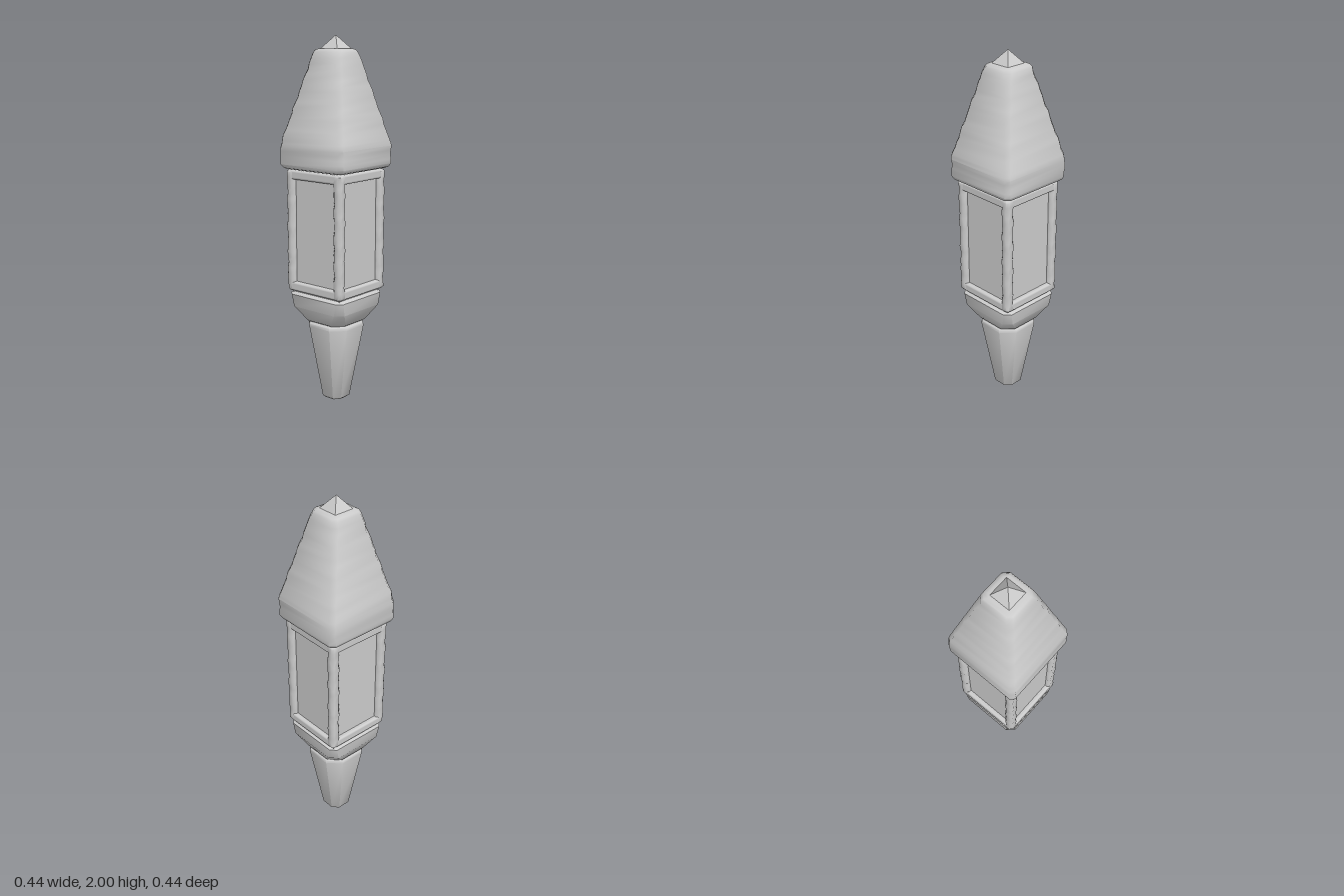
import * as THREE from 'three';
import { toCreasedNormals } from 'three/addons/utils/BufferGeometryUtils.js';
import { RoundedBoxGeometry } from 'three/addons/geometries/RoundedBoxGeometry.js';

const stone = new THREE.MeshStandardMaterial({ color: 0xcccccc });

function addMesh(parent, name, geometry, x = 0, y = 0, z = 0) {
  const mesh = new THREE.Mesh(geometry, stone);
  mesh.name = name;
  mesh.position.set(x, y, z);
  parent.add(mesh);
  return mesh;
}

// Square loft with cut corners. Sections are [y, half width, corner cut];
// wear makes the corner cuts uneven along the height.
function loft(sections, wear = 0, phase = 0) {
  const rings = [];
  sections.forEach(([y, h, c], i) => {
    rings.push([y, h, c]);
    const next = sections[i + 1];
    if (!next || !wear) return;
    const steps = Math.ceil((next[0] - y) / 0.03);
    for (let s = 1; s < steps; s++) {
      rings.push([y, h, c].map((v, k) => THREE.MathUtils.lerp(v, next[k], s / steps)));
    }
  });
  const positions = [], index = [];
  for (const [y, h, c] of rings) {
    for (let k = 0; k < 4; k++) {
      const p = k * 1.9 + phase;
      const cut = c + wear * (Math.sin(y * 47 + p) + Math.sin(y * 83 + 2 * p)) / 2;
      let a = [h, cut - h], b = [h - cut, -h];
      for (let r = 0; r < k; r++) [a, b] = [a, b].map(([x, z]) => [z, -x]);
      positions.push(a[0], y, a[1], b[0], y, b[1]);
    }
  }
  for (let i = 0; i < rings.length - 1; i++) {
    for (let j = 0; j < 8; j++) {
      const a = i * 8 + j, b = i * 8 + (j + 1) % 8;
      index.push(a, b, b + 8, a, b + 8, a + 8);
    }
  }
  const last = (rings.length - 1) * 8;
  for (let j = 1; j < 7; j++) {
    index.push(0, j + 1, j, last, last + j, last + j + 1);
  }
  const geometry = new THREE.BufferGeometry();
  geometry.setAttribute('position', new THREE.Float32BufferAttribute(positions, 3));
  geometry.setIndex(index);
  return toCreasedNormals(geometry, 0.85);
}

export function createModel() {
  const model = new THREE.Group();
  model.name = 'stoneLantern';

  // Tapered foot, nearly octagonal
  addMesh(model, 'foot', loft([
    [0, 0.055, 0.026], [0.012, 0.069, 0.032], [0.43, 0.14, 0.068],
    [0.444, 0.138, 0.068], [0.455, 0.125, 0.06],
  ]));

  // Flared collar under the lantern body
  addMesh(model, 'collar', loft([
    [0.453, 0.125, 0.05], [0.462, 0.14, 0.058], [0.54, 0.184, 0.04],
    [0.608, 0.188, 0.03], [0.62, 0.175, 0.03],
  ]));

  // Lantern body: recessed panels within a worn frame
  const body = new THREE.Group();
  body.name = 'lanternBody';
  model.add(body);
  addMesh(body, 'panels', new THREE.BoxGeometry(0.33, 0.7, 0.33), 0, 0.96, 0);
  for (let k = 0; k < 4; k++) {
    const side = new THREE.Group();
    side.name = 'frameSide';
    side.rotation.y = k * Math.PI / 2;
    body.add(side);
    addMesh(side, 'post', loft([
      [0.628, 0.015, 0.008], [0.64, 0.026, 0.012],
      [1.285, 0.026, 0.012], [1.297, 0.015, 0.008],
    ], 0.006, k), 0.165, 0, 0.165);
    for (const y of [0.655, 1.27]) {
      addMesh(side, 'rail', new RoundedBoxGeometry(0.34, 0.05, 0.05, 3, 0.012), 0, y, 0.165);
    }
  }

  // Tall hipped roof
  addMesh(model, 'roof', loft([
    [1.3, 0.195, 0.02], [1.308, 0.212, 0.024], [1.325, 0.22, 0.022],
    [1.42, 0.22, 0.022], [1.45, 0.215, 0.022], [1.91, 0.096, 0.024],
    [1.923, 0.088, 0.024], [1.93, 0.072, 0.02],
  ], 0.006));

  // Pyramid finial
  const finial = new THREE.ConeGeometry(0.059 * Math.SQRT2, 0.072, 4).toNonIndexed();
  finial.rotateY(Math.PI / 4);
  finial.computeVertexNormals();
  addMesh(model, 'finial', finial, 0, 1.964, 0);

  return model;
}
